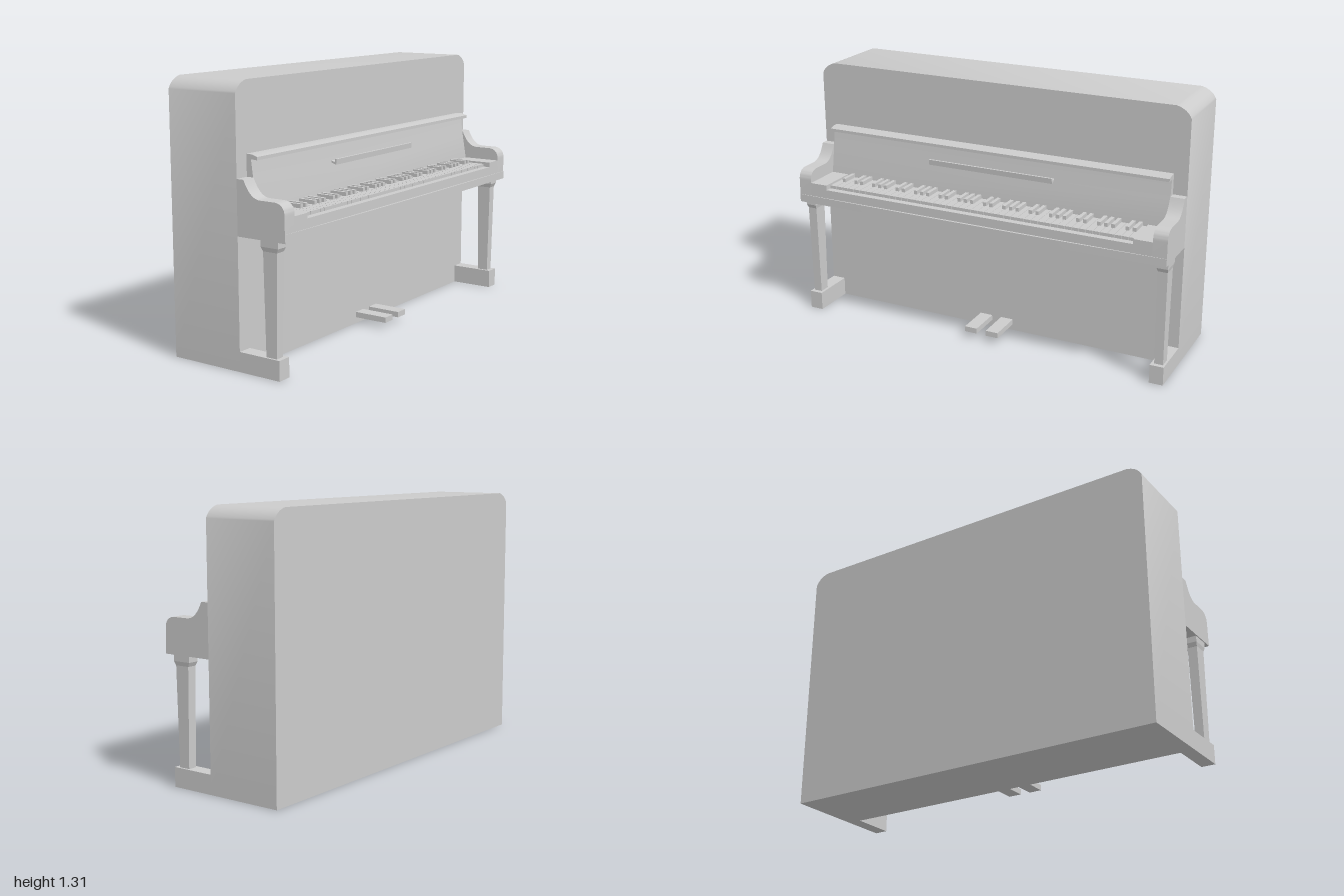
import * as THREE from 'three';
import { toCreasedNormals } from 'three/addons/utils/BufferGeometryUtils.js';

const material = new THREE.MeshStandardMaterial({ color: 0xcccccc });

export function createModel() {
  const piano = new THREE.Group();
  piano.name = 'uprightPiano';

  const add = (name, geometry, parent = piano) => {
    const mesh = new THREE.Mesh(geometry, material);
    mesh.name = name;
    parent.add(mesh);
    return mesh;
  };

  // Box given by its limits on each axis
  const box = (name, x0, x1, y0, y1, z0, z1, parent) =>
    add(name, new THREE.BoxGeometry(x1 - x0, y1 - y0, z1 - z0)
      .translate((x0 + x1) / 2, (y0 + y1) / 2, (z0 + z1) / 2), parent);

  // Side profile (x, y) extruded from z0 to z1
  const slab = (name, shape, z0, z1) => {
    const g = new THREE.ExtrudeGeometry(shape, { depth: z1 - z0, bevelEnabled: false, curveSegments: 12 });
    return add(name, toCreasedNormals(g.translate(0, 0, z0), 0.6));
  };
  const polygon = (points) => new THREE.Shape(points.map(([x, y]) => new THREE.Vector2(x, y)));

  // Four-sided post with different top and bottom limits in x and z
  const post = (name, y0, y1, bottom, top, z) => {
    const g = new THREE.BoxGeometry(1, 1, 1).toNonIndexed();
    const p = g.attributes.position;
    for (let i = 0; i < p.count; i++) {
      const up = p.getY(i) > 0;
      const [x0, x1, half] = up ? top : bottom;
      p.setXYZ(i, p.getX(i) > 0 ? x1 : x0, up ? y1 : y0, z + (p.getZ(i) > 0 ? half : -half));
    }
    g.computeVertexNormals();
    return add(name, g);
  };

  // Case with rounded upper corners
  const outline = new THREE.Shape();
  outline.moveTo(-1, 0);
  outline.lineTo(1, 0);
  outline.lineTo(1, 1.255);
  outline.quadraticCurveTo(0.98, 1.3, 0.925, 1.312);
  outline.lineTo(-0.925, 1.312);
  outline.quadraticCurveTo(-0.98, 1.3, -1, 1.255);
  outline.closePath();
  const caseGeometry = new THREE.ExtrudeGeometry(outline, { depth: 0.388, bevelEnabled: false, curveSegments: 10 });
  add('case', toCreasedNormals(caseGeometry.rotateY(Math.PI / 2).translate(-0.333, 0, 0), 0.6));

  // Scrolled arms, legs and feet on both sides
  const arm = new THREE.Shape();
  arm.moveTo(0.05, 0.625);
  arm.lineTo(0.318, 0.625);
  arm.lineTo(0.318, 0.745);
  arm.bezierCurveTo(0.318, 0.78, 0.295, 0.8, 0.262, 0.8);
  arm.lineTo(0.185, 0.8);
  arm.bezierCurveTo(0.14, 0.8, 0.115, 0.835, 0.093, 0.882);
  arm.lineTo(0.05, 0.882);
  arm.closePath();
  for (const [side, s] of [['left', 1], ['right', -1]]) {
    const z0 = s > 0 ? 0.93 : -1;
    const z = s * 0.967;
    slab(side + 'Arm', arm, z0, z0 + 0.07);
    box(side + 'Foot', 0.05, 0.28, 0, 0.095, z0, z0 + 0.07);
    post(side + 'Leg', 0.095, 0.58, [0.199, 0.257, 0.022], [0.19, 0.266, 0.024], z);
    post(side + 'LegNeck', 0.575, 0.595, [0.19, 0.266, 0.024], [0.18, 0.276, 0.028], z);
    box(side + 'LegCap', 0.18, 0.276, 0.595, 0.626, z - 0.028, z + 0.028);
    box(side + 'KeyBlock', 0.055, 0.318, 0.625, 0.735, s > 0 ? 0.836 : -0.93, s > 0 ? 0.93 : -0.836);
  }

  // Key bed and key slip
  box('keyBed', 0.05, 0.3, 0.625, 0.69, -0.93, 0.93);
  box('keySlip', 0.283, 0.318, 0.625, 0.71, -0.836, 0.836);

  // Front rail, bowed slightly outward along its length
  const rail = new THREE.Shape();
  rail.moveTo(0.31, -1);
  rail.lineTo(0.32, -1);
  rail.quadraticCurveTo(0.34, 0, 0.32, 1);
  rail.lineTo(0.31, 1);
  rail.closePath();
  const railGeometry = new THREE.ExtrudeGeometry(rail, { depth: 0.04, bevelEnabled: false, curveSegments: 16 });
  add('frontRail', toCreasedNormals(railGeometry.rotateX(Math.PI / 2).translate(0, 0.665, 0), 0.6));

  // Sloping fallboard with an overhanging top lip
  slab('fallboard', polygon([
    [0.05, 0.7], [0.115, 0.7], [0.115, 0.735], [0.092, 0.87], [0.08, 0.962],
    [0.115, 0.96], [0.115, 0.975], [0.085, 0.984], [0.05, 0.985],
  ]), -0.93, 0.93);

  // Music ledge with upturned edge
  slab('musicLedge', polygon([
    [0.085, 0.872], [0.118, 0.862], [0.12, 0.889], [0.112, 0.89], [0.11, 0.875], [0.085, 0.882],
  ]), -0.34, 0.34);

  // Keyboard: black keys sit on the joints between white keys, in twos and threes
  const keyboard = new THREE.Group();
  keyboard.name = 'keyboard';
  piano.add(keyboard);
  const count = 47, pitch = 1.672 / count;
  for (let i = 0; i < count; i++) {
    const z = -0.836 + i * pitch;
    box('whiteKey', 0.105, 0.281, 0.685, 0.725, z + 0.001, z + pitch - 0.001, keyboard);
    if (i % 7 !== 0 && i % 7 !== 3) {
      box('blackKey', 0.105, 0.205, 0.715, 0.744, z - 0.009, z + 0.009, keyboard);
    }
  }

  // Pedals
  box('leftPedal', 0.05, 0.235, 0.032, 0.06, 0.015, 0.082);
  box('rightPedal', 0.05, 0.235, 0.032, 0.06, -0.104, -0.037);

  return piano;
}
